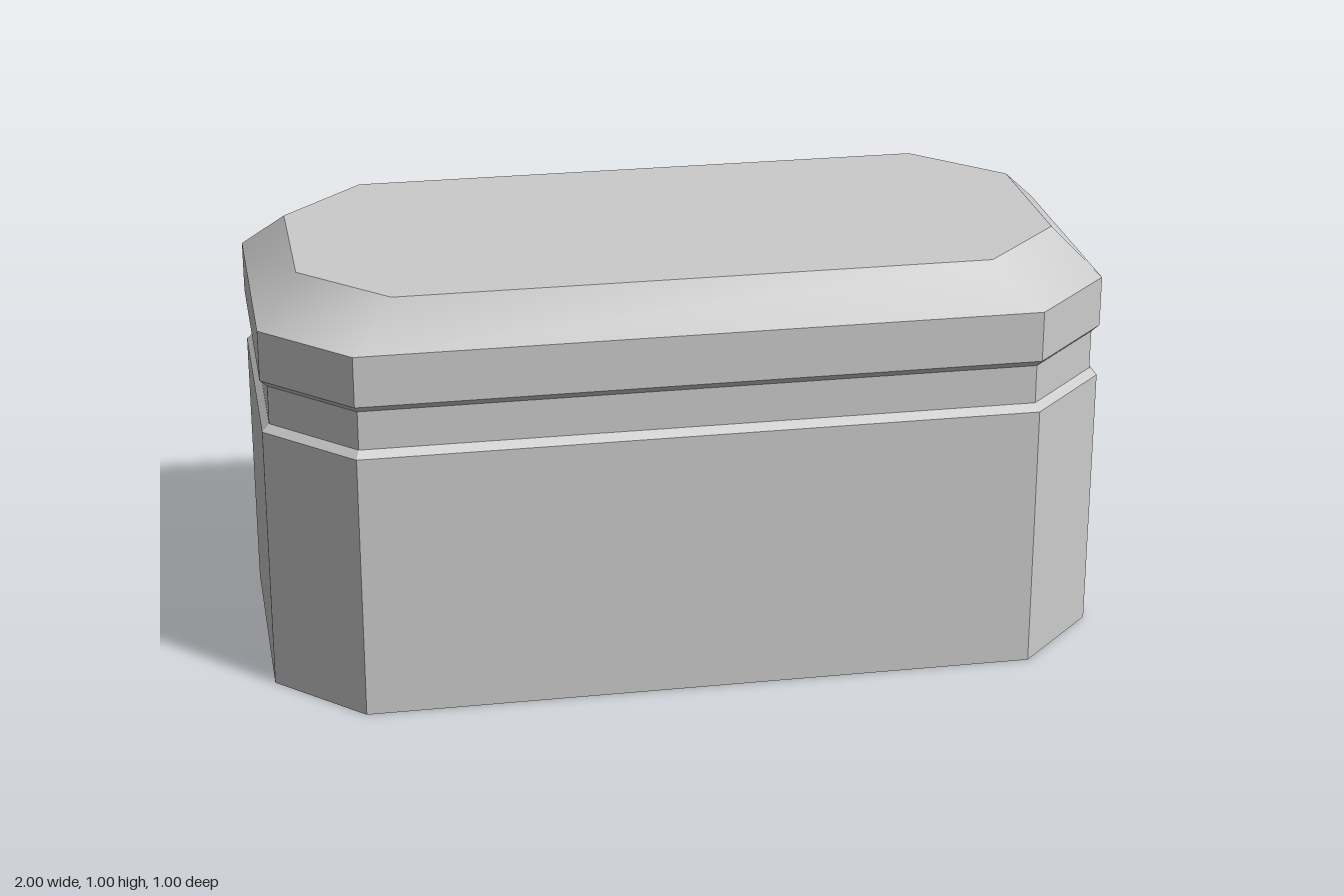
import * as THREE from 'three';
import { toCreasedNormals } from 'three/addons/utils/BufferGeometryUtils.js';

const material = new THREE.MeshStandardMaterial({ color: 0xcccccc });
const GROOVE = 0.017; // depth of the groove and size of its bevels

// Chamfered rectangle, inset by d, with four extra points on the back
// that can sink by dip to form the notch behind the latch.
function ring(y, d = 0, dip = 0, chamfer = 0.2 - 0.586 * d) {
  const X = 1 - d, Z = 0.5 - d, x = X - chamfer, z = Z - chamfer;
  const shift = d > 0 ? 0.005 : 0;
  const a = 0.4 - shift, b = 0.135 - shift;
  return [
    [X, y, z], [X, y, -z], [x, y, -Z],
    [a, y, -Z], [b, y - dip, -Z], [-b, y - dip, -Z], [-a, y, -Z],
    [-x, y, -Z], [-X, y, -z], [-X, y, z], [-x, y, Z], [x, y, Z],
  ];
}

// Skin a stack of rings, listed from the bottom up, with optional end caps
function loft(name, rings, { bottom = false, top = false } = {}) {
  const pos = [];
  const tri = (...points) => points.forEach((p) => pos.push(...p));
  const n = rings[0].length, last = rings.length - 1;
  for (let i = 0; i < n; i++) {
    const j = (i + 1) % n;
    for (let k = 0; k < last; k++) {
      const lo = rings[k], hi = rings[k + 1];
      tri(lo[i], lo[j], hi[j]);
      tri(lo[i], hi[j], hi[i]);
    }
    if (bottom) tri([0, rings[0][0][1], 0], rings[0][j], rings[0][i]);
    if (top) tri([0, rings[last][0][1], 0], rings[last][i], rings[last][j]);
  }
  const geometry = new THREE.BufferGeometry();
  geometry.setAttribute('position', new THREE.Float32BufferAttribute(pos, 3));
  const mesh = new THREE.Mesh(toCreasedNormals(geometry, 0.53), material);
  mesh.name = name;
  return mesh;
}

export function createModel() {
  const group = new THREE.Group();
  group.name = 'chest';

  const dip = 0.19;
  const rim = ring(0.65 + GROOVE, GROOVE, dip);
  const lidSeat = ring(0.761, GROOVE);

  // Body with a bevelled rim that drops into a notch at the back
  group.add(loft('body', [ring(0), ring(0.65, 0, dip), rim], { bottom: true }));

  // Recessed band between body and lid
  group.add(loft('neck', [rim, lidSeat]));

  // Lid with bevelled underside and broad sloping top edge
  group.add(loft('lid', [lidSeat, ring(0.778), ring(0.9), ring(1, 0.1, 0, 0.2)], { top: true }));

  // Six-sided latch plate in the back notch
  const outline = [[0.16, 0.73], [-0.16, 0.73], [-0.16, 0.655], [-0.057, 0.505], [0.057, 0.505], [0.16, 0.655]];
  const shape = new THREE.Shape(outline.map(([x, y]) => new THREE.Vector2(x, y)));
  const latch = new THREE.Mesh(new THREE.ExtrudeGeometry(shape, { depth: 0.03, bevelEnabled: false }), material);
  latch.position.z = -0.5;
  latch.name = 'latch';
  group.add(latch);

  return group;
}
